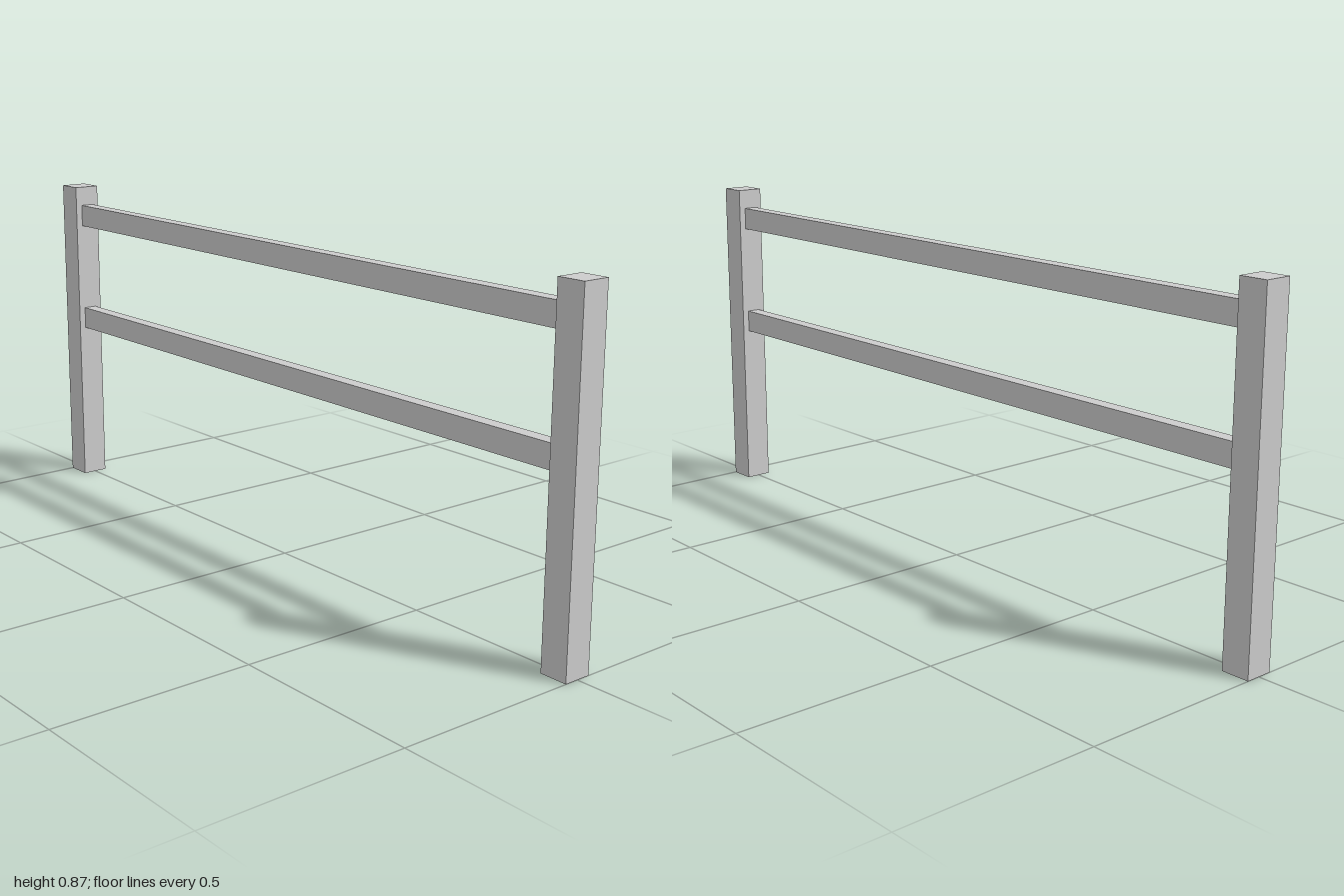
import * as THREE from 'three';

export function createModel() {
  const group = new THREE.Group();
  const material = new THREE.MeshStandardMaterial({ color: 0xcccccc, flatShading: true });
  const post = 0.072, height = 0.867;
  const railHeight = 0.06, railDepth = 0.036;

  const addBox = (name, w, h, d, x, y) => {
    const mesh = new THREE.Mesh(new THREE.BoxGeometry(w, h, d), material);
    mesh.name = name;
    mesh.position.set(x, y, 0);
    group.add(mesh);
  };

  // Square end posts
  for (const side of [-1, 1]) {
    addBox(side > 0 ? 'leftPost' : 'rightPost', post, height, post, side * (1 - post / 2), height / 2);
  }

  // Horizontal rails spanning between the posts
  for (const [name, y] of [['lowerRail', 0.48], ['upperRail', 0.784]]) {
    addBox(name, 2 - 2 * post, railHeight, railDepth, 0, y);
  }
  return group;
}
